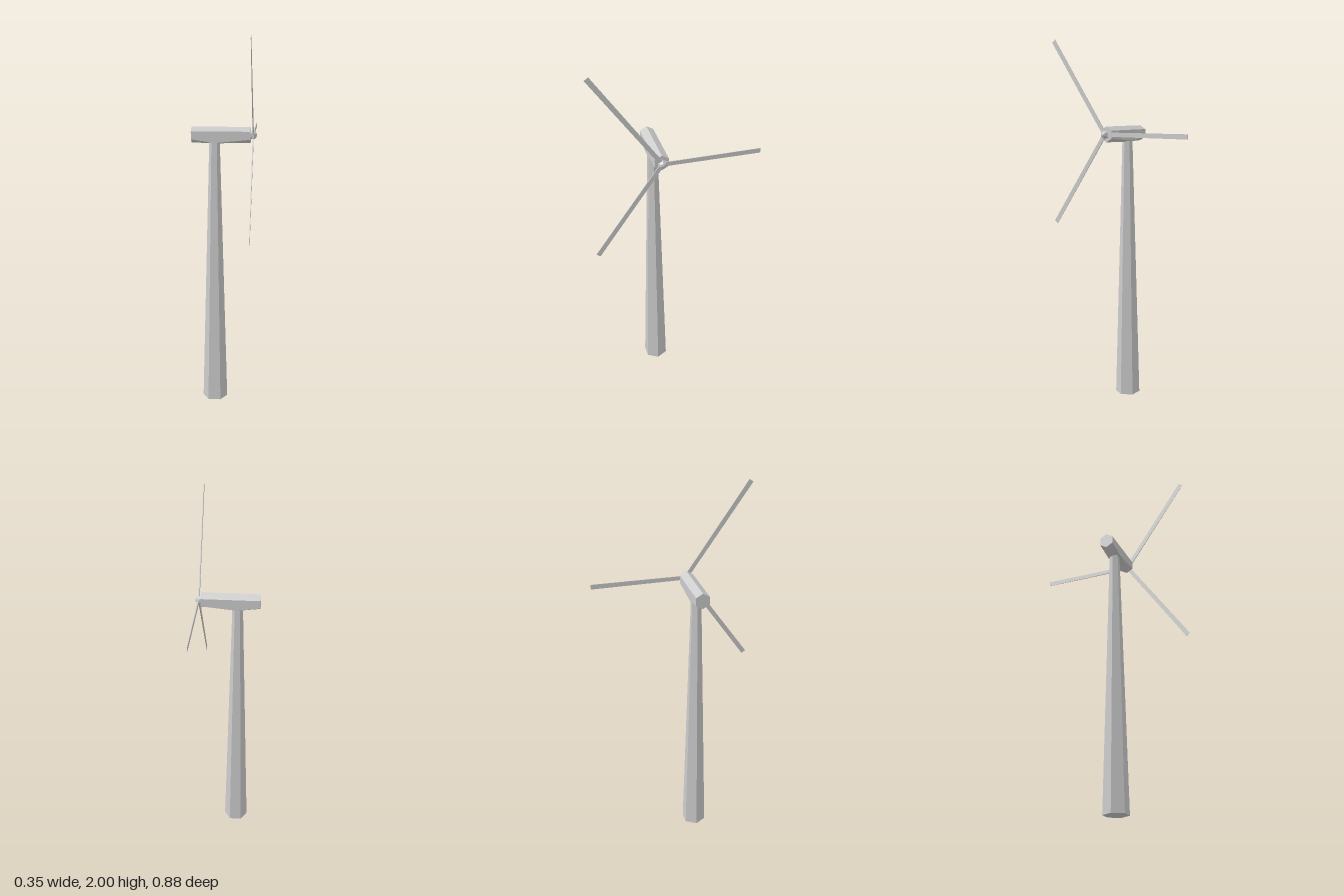
import * as THREE from 'three';

export function createModel() {
  const group = new THREE.Group();
  group.name = 'windTurbine';
  const material = new THREE.MeshStandardMaterial({ color: 0xcccccc, flatShading: true });
  const hubY = 1.493, axisZ = 0.077, towerX = -0.053;

  function add(name, geometry, x, y, z) {
    const mesh = new THREE.Mesh(geometry, material);
    mesh.name = name;
    mesh.position.set(x, y, z);
    group.add(mesh);
    return mesh;
  }

  // Turns a six-sided solid so its axis runs along +x with a ridge on top
  const layAlongX = (geometry) => geometry.rotateZ(-Math.PI / 2).rotateX(Math.PI / 2);

  // Tapered six-sided tower with corners toward +x and -x
  const towerHeight = 1.46;
  const tower = new THREE.CylinderGeometry(0.028, 0.068, towerHeight, 6);
  tower.rotateY(Math.PI / 2);
  add('tower', tower, towerX, towerHeight / 2, axisZ);

  // Nacelle: six-sided housing whose underside swells slightly over the tower
  const back = -0.174, front = 0.138, middle = (back + front) / 2;
  const nacelle = layAlongX(new THREE.CylinderGeometry(0.042, 0.042, front - back, 6, 2));
  const p = nacelle.attributes.position;
  for (let i = 0; i < p.count; i++) {
    if (Math.abs(p.getX(i)) > 0.01) continue;
    p.setX(i, towerX - middle);
    const y = p.getY(i);
    if (y < -0.03) p.setY(i, -0.046);
    else if (y < 0) p.setY(i, -0.04);
  }
  add('nacelle', nacelle, middle, hubY, axisZ);

  // Hub with a rounded nose
  const profile = [[0.022, 0], [0.022, 0.018], [0.013, 0.029], [0, 0.034]]
    .map(([r, h]) => new THREE.Vector2(r, h));
  add('hub', layAlongX(new THREE.LatheGeometry(profile, 6)), front, hubY, axisZ);

  // Three thin blades, thicker at the root and wider at the tip
  const tips = [[0.35, 0.5], [0.35, -0.5], [-0.515, 0]];
  tips.forEach(([dz, dy], n) => {
    const length = Math.hypot(dz, dy);
    const blade = new THREE.BoxGeometry(1, length, 1).translate(0, length / 2, 0);
    const v = blade.attributes.position;
    for (let i = 0; i < v.count; i++) {
      const t = v.getY(i) / length;
      v.setX(i, v.getX(i) * (0.006 - 0.004 * t));
      v.setZ(i, v.getZ(i) * (0.022 + 0.004 * t));
    }
    add('blade' + (n + 1), blade, 0.151, hubY, axisZ).rotation.x = Math.atan2(dz, dy);
  });

  return group;
}
